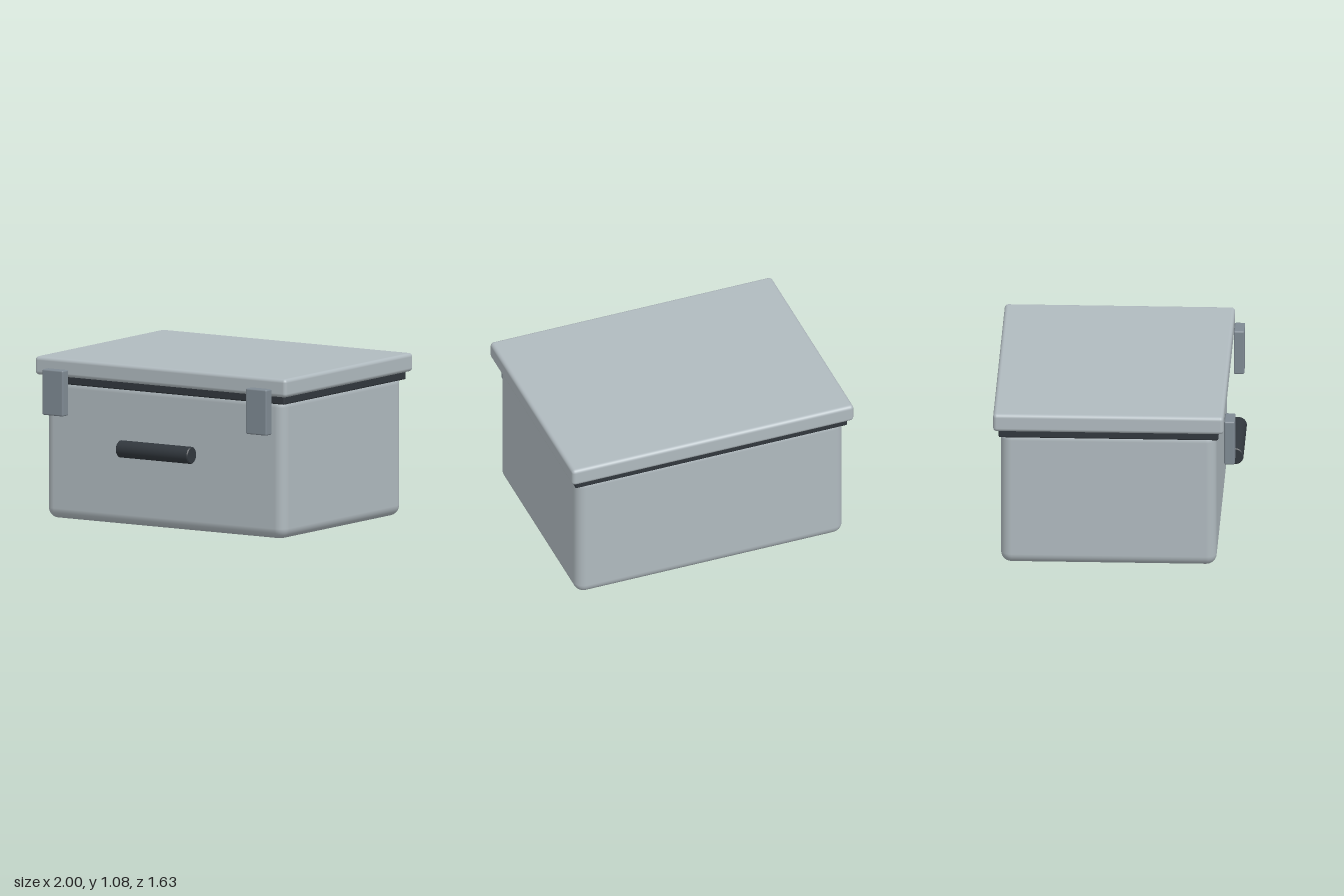
import * as THREE from 'three';
import { RoundedBoxGeometry } from 'three/addons/geometries/RoundedBoxGeometry.js';

function material(name, color) {
  const m = new THREE.MeshStandardMaterial({ color });
  m.name = name;
  return m;
}

export function createModel() {
  const model = new THREE.Group();
  model.name = 'latchedBox';
  const shell = material('light grey shell', 0xb0babf);
  const metal = material('mid grey latch', 0x7f8a93);
  const rubber = material('dark rubber', 0x31373d);

  // Rounded block placed by its centre, its bottom and its top
  function block(name, mat, x, z, bottom, top, width, depth, radius, segments = 3) {
    const height = top - bottom;
    const mesh = new THREE.Mesh(new RoundedBoxGeometry(width, height, depth, segments, radius), mat);
    mesh.position.set(x, (bottom + top) / 2, z);
    mesh.name = name;
    model.add(mesh);
  }

  // The box sits slightly back, leaving room for the front hardware
  const boxZ = -0.052;
  block('body', shell, 0, boxZ, 0, 0.95, 1.9, 1.43, 0.07, 4);
  block('gasket', rubber, 0, boxZ, 0.907, 0.975, 1.93, 1.456, 0.01, 2);
  block('lid', shell, 0, boxZ, 0.96, 1.083, 2, 1.528, 0.025);

  // Pair of front latches
  for (const side of [-1, 1]) {
    const name = side > 0 ? 'leftLatch' : 'rightLatch';
    block(name, metal, side * 0.81, 0.747, 0.707, 1.013, 0.165, 0.07, 0.01, 2);
  }

  // Round bar handle with softened ends
  const r = 0.057, half = 0.286, bevel = 0.006;
  const profile = [
    [0, -half], [r - bevel, -half], [r - bevel, -half], [r, -half + bevel], [r, -half + bevel],
    [r, half - bevel], [r, half - bevel], [r - bevel, half], [r - bevel, half], [0, half],
  ].map(([x, y]) => new THREE.Vector2(x, y));
  const handle = new THREE.Mesh(new THREE.LatheGeometry(profile, 32), rubber);
  handle.rotation.z = Math.PI / 2;
  handle.position.set(0, 0.526, 0.76);
  handle.name = 'handle';
  model.add(handle);

  return model;
}
